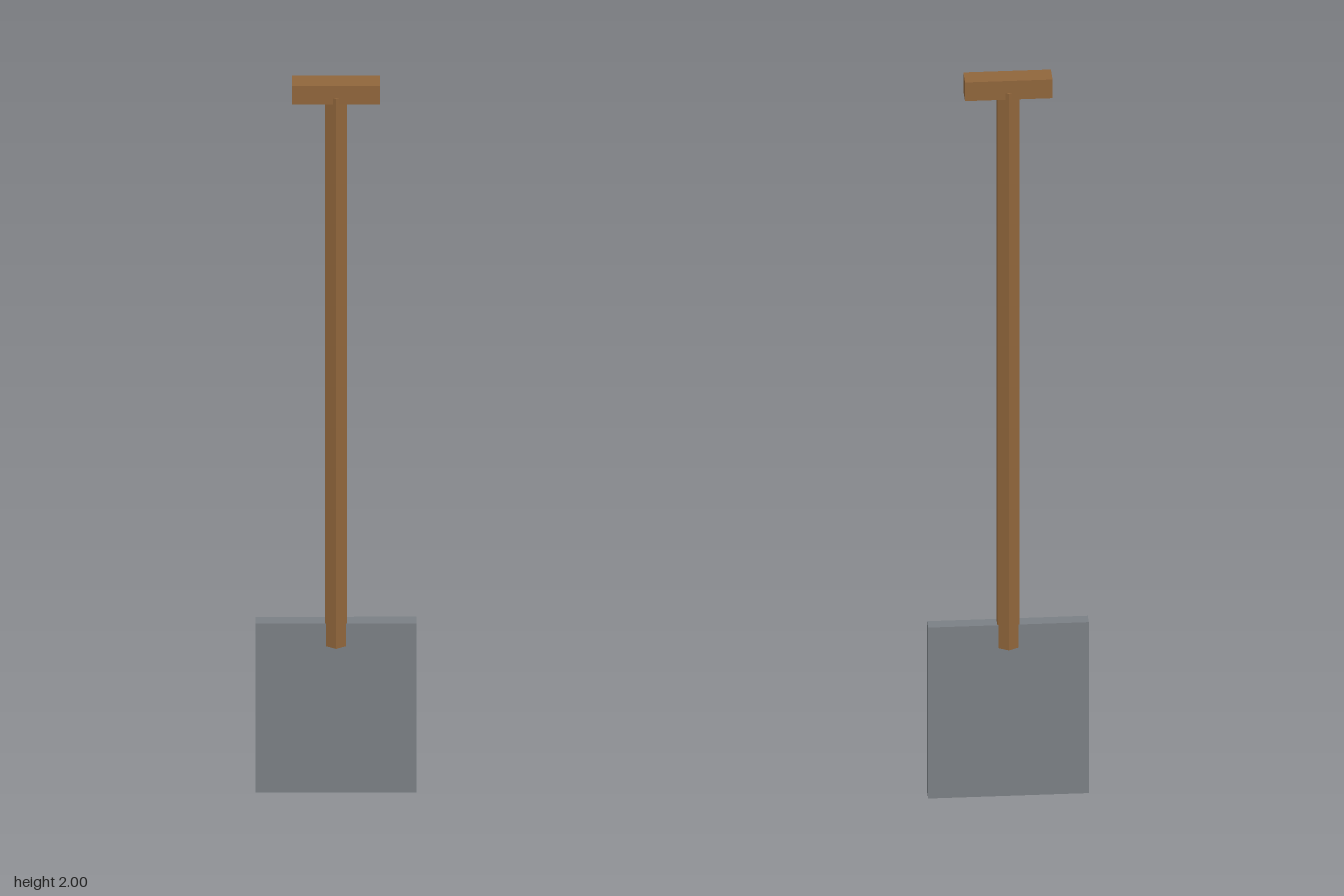
import * as THREE from 'three';

export function createModel() {
  const group = new THREE.Group();
  const wood = new THREE.MeshStandardMaterial({ color: 0x8f653b, flatShading: true });
  const metal = new THREE.MeshStandardMaterial({ color: 0x7a7f84, flatShading: true });

  // Adds a part standing between two heights
  const add = (name, geometry, material, bottom, top) => {
    const mesh = new THREE.Mesh(geometry, material);
    mesh.name = name;
    mesh.position.y = (bottom + top) / 2;
    group.add(mesh);
  };

  // Flat rectangular blade
  add('blade', new THREE.BoxGeometry(0.4, 0.477, 0.035), metal, 0, 0.477);
  // Six-sided shaft, overlapping the blade and the grip
  add('shaft', new THREE.CylinderGeometry(0.032, 0.032, 1.553, 6), wood, 0.413, 1.966);
  // Crossbar grip
  add('grip', new THREE.BoxGeometry(0.218, 0.052, 0.055), wood, 1.948, 2);

  return group;
}
